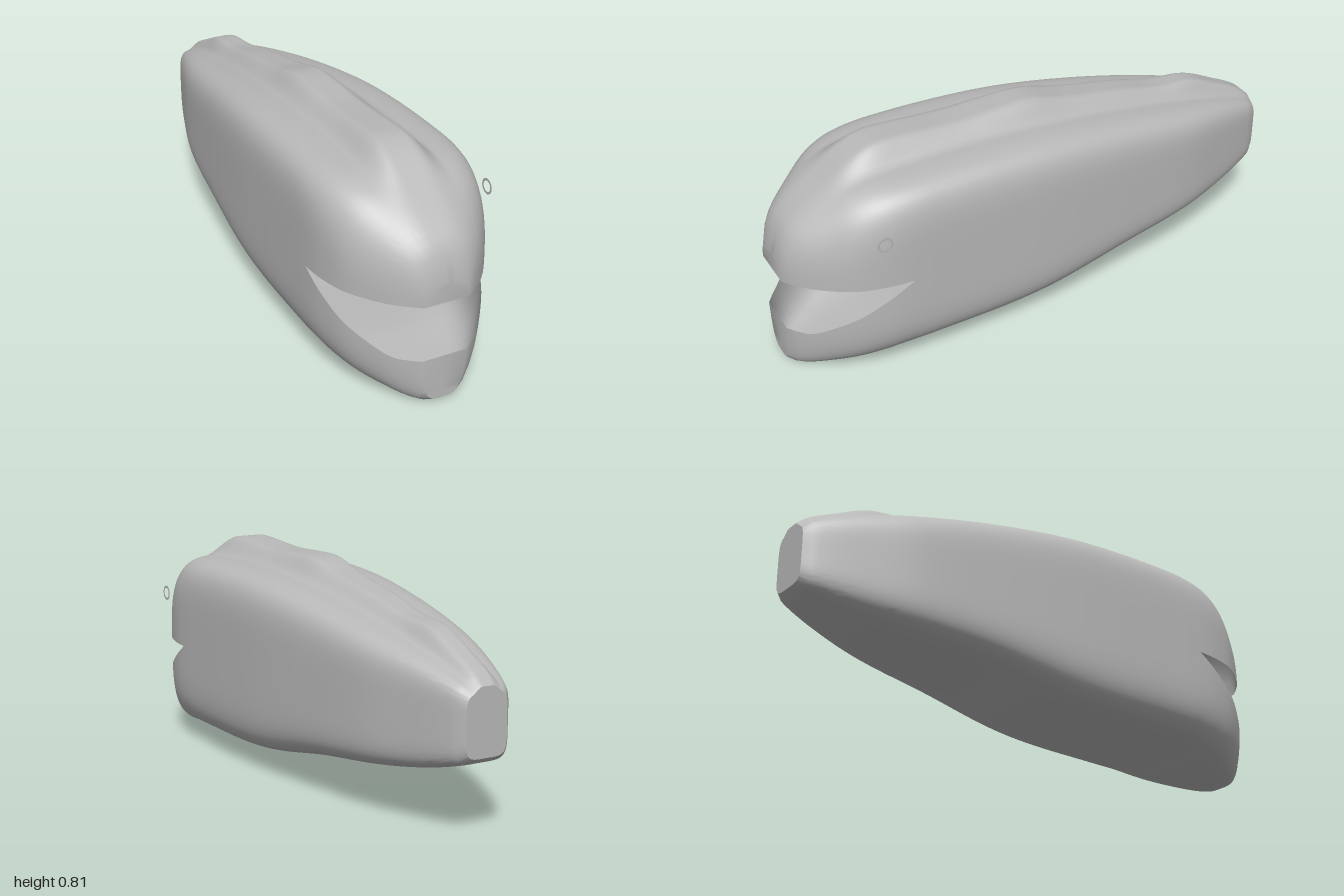
import * as THREE from 'three';
import { toCreasedNormals } from 'three/addons/utils/BufferGeometryUtils.js';

const SEAM = 0.39; // height of the upper lip, where the two shells meet
const CENTRE = -0.009;

// Smooth curve through [z, value] keys
function curve(keys) {
  const slope = (i) => {
    const a = keys[Math.max(i - 1, 0)], b = keys[Math.min(i + 1, keys.length - 1)];
    return (b[1] - a[1]) / (b[0] - a[0]);
  };
  return (z) => {
    let i = 0;
    while (i < keys.length - 2 && z > keys[i + 1][0]) i++;
    const [z0, v0] = keys[i], [z1, v1] = keys[i + 1];
    const h = z1 - z0, t = THREE.MathUtils.clamp((z - z0) / h, 0, 1), u = 1 - t;
    return v0 * (1 + 2 * t) * u * u + slope(i) * h * t * u * u
      + v1 * t * t * (3 - 2 * t) - slope(i + 1) * h * t * t * u;
  };
}

// Body dimensions from tail (z = -1) to snout (z = 1)
const halfWidth = curve([[-1, 0.08], [-0.97, 0.104], [-0.8, 0.165], [-0.6, 0.222], [-0.3, 0.265],
  [0, 0.293], [0.25, 0.303], [0.5, 0.306], [0.62, 0.304], [0.7, 0.294], [0.8, 0.264],
  [0.9, 0.198], [0.96, 0.14], [1, 0.085]]);
const shoulder = curve([[-1, 0.5], [-0.97, 0.525], [-0.8, 0.585], [-0.6, 0.632], [-0.3, 0.69],
  [0, 0.73], [0.3, 0.745], [0.6, 0.742], [0.7, 0.733], [0.8, 0.7], [0.93, 0.61], [0.98, 0.54], [1, 0.46]]);
const ridgeTop = curve([[-1, 0.52], [-0.96, 0.555], [-0.85, 0.61], [-0.72, 0.665], [-0.57, 0.682],
  [-0.4, 0.72], [-0.15, 0.765], [0, 0.802], [0.15, 0.803], [0.28, 0.798], [0.4, 0.803], [0.5, 0.81],
  [0.62, 0.81], [0.7, 0.78], [0.8, 0.712], [0.93, 0.615], [0.98, 0.545], [1, 0.46]]);
const ridgeWidth = curve([[-1, 0.06], [-0.6, 0.09], [0, 0.125], [0.5, 0.135], [1, 0.15]]);
const belly = curve([[-1, 0.285], [-0.97, 0.262], [-0.8, 0.215], [-0.6, 0.18], [-0.3, 0.14], [0, 0.085],
  [0.2, 0.066], [0.6, 0.055], [0.75, 0.03], [0.9, 0.008], [0.97, 0.005], [1, 0.02]]);
const squareTop = curve([[-1, 5], [0.5, 6], [0.7, 4.5], [0.85, 3], [1, 3]]);
const squareBelly = curve([[-1, 5], [0.5, 5], [0.8, 4], [1, 4]]);
const jawRim = (z) => SEAM - 0.205 * THREE.MathUtils.clamp((z - 0.6) / 0.34, 0, 1);

// Rounded-square outline, as a point at the given angle
function rounded(angle, n) {
  const c = Math.cos(angle), s = Math.sin(angle);
  const r = (Math.abs(c) ** n + Math.abs(s) ** n) ** (-1 / n);
  return [c * r, s * r];
}

// Upper section with the raised back ridge
function upperPoint(z, t) {
  const [c, s] = rounded(t * Math.PI, squareTop(z));
  const x = c * halfWidth(z), w = ridgeWidth(z);
  const ridge = 1 - THREE.MathUtils.smoothstep(Math.abs(x), 0.35 * w, w);
  return [x, SEAM + s * (shoulder(z) - SEAM) + ridge * (ridgeTop(z) - shoulder(z))];
}

// Lower section, cut off at the rim of the lower jaw
function lowerPoint(z, t) {
  const n = squareBelly(z), depth = SEAM - belly(z);
  const v = (SEAM - jawRim(z)) / depth;
  const start = Math.atan2(v, (1 - v ** n) ** (1 / n));
  const [c, s] = rounded(Math.PI + start + t * (Math.PI - 2 * start), n);
  return [c * halfWidth(z), SEAM + s * depth];
}

// Skin the sections, closing both ends with flat caps
function loft(section, around = 72, along = 80) {
  const pos = [], index = [], row = around + 1;
  for (let i = -1; i <= along + 1; i++) {
    const z = -1 + 2 * THREE.MathUtils.clamp(i / along, 0, 1);
    const cap = i < 0 || i > along;
    for (let j = 0; j <= around; j++) {
      const [x, y] = section(z, j / around);
      pos.push(CENTRE + (cap ? 0 : x), y, z);
      if (i <= along && j < around) {
        const a = (i + 1) * row + j;
        index.push(a, a + 1, a + row, a + 1, a + row + 1, a + row);
      }
    }
  }
  const geo = new THREE.BufferGeometry();
  geo.setAttribute('position', new THREE.Float32BufferAttribute(pos, 3));
  geo.setIndex(index);
  return toCreasedNormals(geo, 0.7);
}

export function createModel() {
  const group = new THREE.Group();
  const grey = new THREE.MeshStandardMaterial({ color: 0xb8b8b8, side: THREE.DoubleSide });
  grey.name = 'grey';
  const add = (name, geometry) => {
    const mesh = new THREE.Mesh(geometry, grey);
    mesh.name = name;
    group.add(mesh);
    return mesh;
  };

  // Hollow body shells, open at the mouth
  add('upperBody', loft(upperPoint));
  add('lowerBody', loft(lowerPoint));

  // Flat ring eye, just off the left side of the head
  const eye = add('eye', new THREE.RingGeometry(0.02, 0.029, 32));
  eye.rotation.y = Math.PI / 2;
  eye.position.set(0.315, 0.59, 0.71);
  return group;
}
